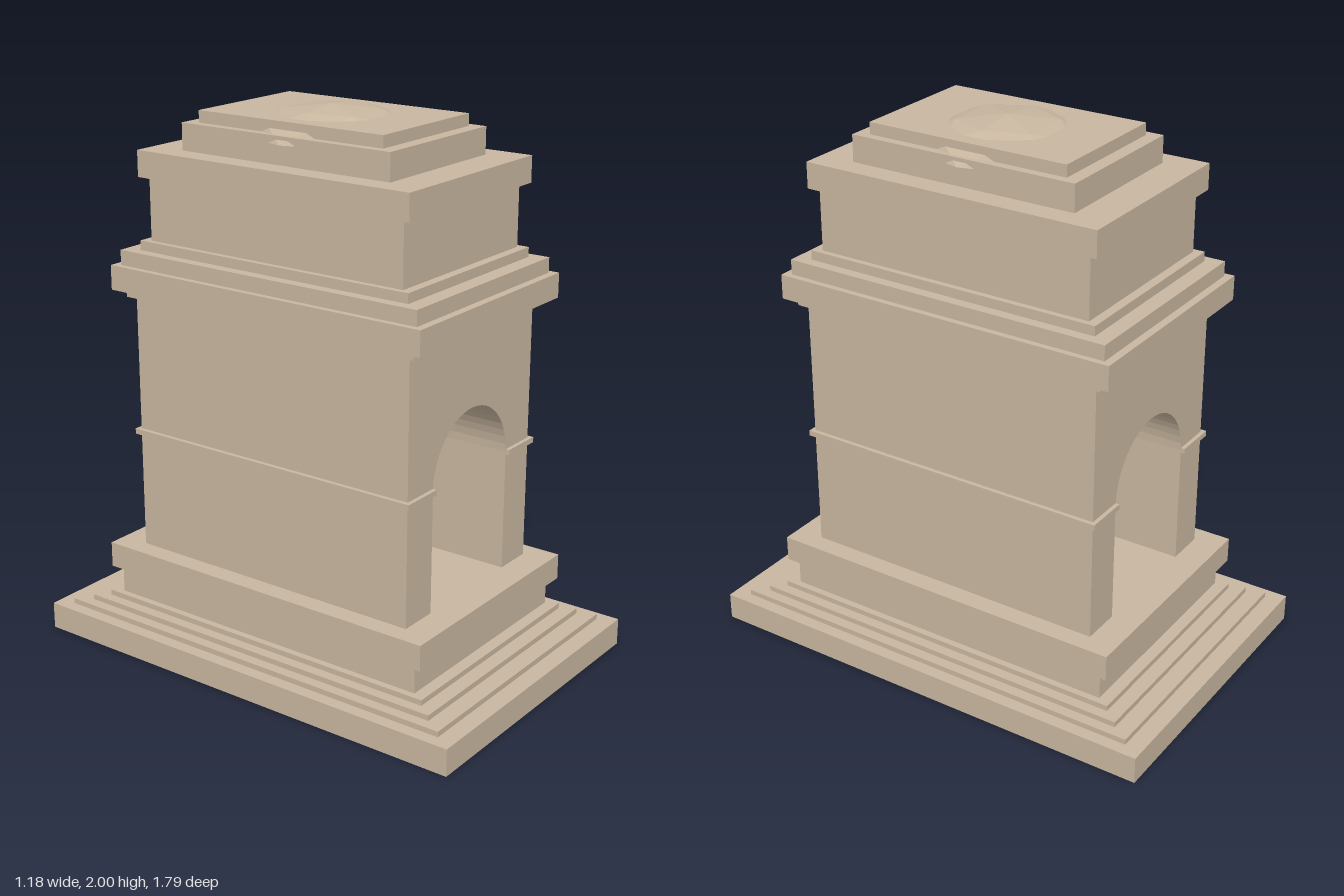
import * as THREE from 'three';

export function createModel() {
  const model = new THREE.Group();
  model.name = 'archMonument';
  const stone = new THREE.MeshStandardMaterial({ color: 0xc8b69f, flatShading: true });

  const add = (name, geometry) => {
    const mesh = new THREE.Mesh(geometry, stone);
    mesh.name = name;
    model.add(mesh);
    return mesh;
  };

  // Stacked slabs: name, bottom, top, half width, half depth
  const slabs = [
    ['baseSlab', 0, 0.1, 0.577, 0.885],
    ['lowerStep', 0.1, 0.12, 0.531, 0.82],
    ['middleStep', 0.12, 0.14, 0.492, 0.756],
    ['upperStep', 0.14, 0.16, 0.453, 0.702],
    ['pedestal', 0.16, 0.26, 0.428, 0.657],
    ['pedestalCap', 0.26, 0.355, 0.45, 0.692],
    ['corniceFillet', 1.305, 1.33, 0.399, 0.613],
    ['cornice', 1.33, 1.42, 0.428, 0.657],
    ['corniceStep', 1.42, 1.475, 0.406, 0.628],
    ['atticPlinth', 1.475, 1.51, 0.367, 0.568],
    ['attic', 1.51, 1.735, 0.346, 0.534],
    ['atticCap', 1.735, 1.83, 0.367, 0.568],
    ['roofBlock', 1.83, 1.927, 0.282, 0.435],
    ['roofSlab', 1.927, 1.97, 0.25, 0.385],
  ];
  for (const [name, bottom, top, w, d] of slabs) {
    add(name, new THREE.BoxGeometry(2 * w, top - bottom, 2 * d))
      .position.y = (bottom + top) / 2;
  }

  // Main body with a round-headed passage running front to back
  const W = 0.378, D = 0.585, R = 0.23, FLOOR = 0.355, SPRING = 0.8;
  const body = new THREE.Shape();
  body.moveTo(-W, FLOOR);
  body.lineTo(-R, FLOOR);
  body.lineTo(-R, SPRING);
  body.absarc(0, SPRING, R, Math.PI, 0, true);
  body.lineTo(R, FLOOR);
  body.lineTo(W, FLOOR);
  body.lineTo(W, 1.305);
  body.lineTo(-W, 1.305);
  body.closePath();
  add('archBody', new THREE.ExtrudeGeometry(body, {
    depth: 2 * D, bevelEnabled: false, curveSegments: 12,
  })).position.z = -D;

  // Impost bands at the spring line, one on each pier
  for (const side of [-1, 1]) {
    add(side > 0 ? 'leftImpostBand' : 'rightImpostBand',
      new THREE.BoxGeometry(0.394 - R, 0.02, 1.2))
      .position.set(side * (0.394 + R) / 2, 0.8, 0);
  }

  // Shallow faceted dome: upper half of a flattened icosphere
  const ball = new THREE.IcosahedronGeometry(1, 1).getAttribute('position');
  const upper = [];
  for (let i = 0; i < ball.count; i += 3) {
    if (ball.getY(i) + ball.getY(i + 1) + ball.getY(i + 2) < -0.01) continue;
    for (let k = i; k < i + 3; k++) upper.push(ball.getX(k), ball.getY(k), ball.getZ(k));
  }
  const domeGeometry = new THREE.BufferGeometry();
  domeGeometry.setAttribute('position', new THREE.Float32BufferAttribute(upper, 3));
  domeGeometry.scale(0.298, 0.1, 0.298);
  domeGeometry.computeVertexNormals();
  add('dome', domeGeometry).position.y = 1.9;

  // The whole monument stands about one degree off square
  model.rotation.y = -0.0175;
  const group = new THREE.Group();
  group.add(model);
  return group;
}
